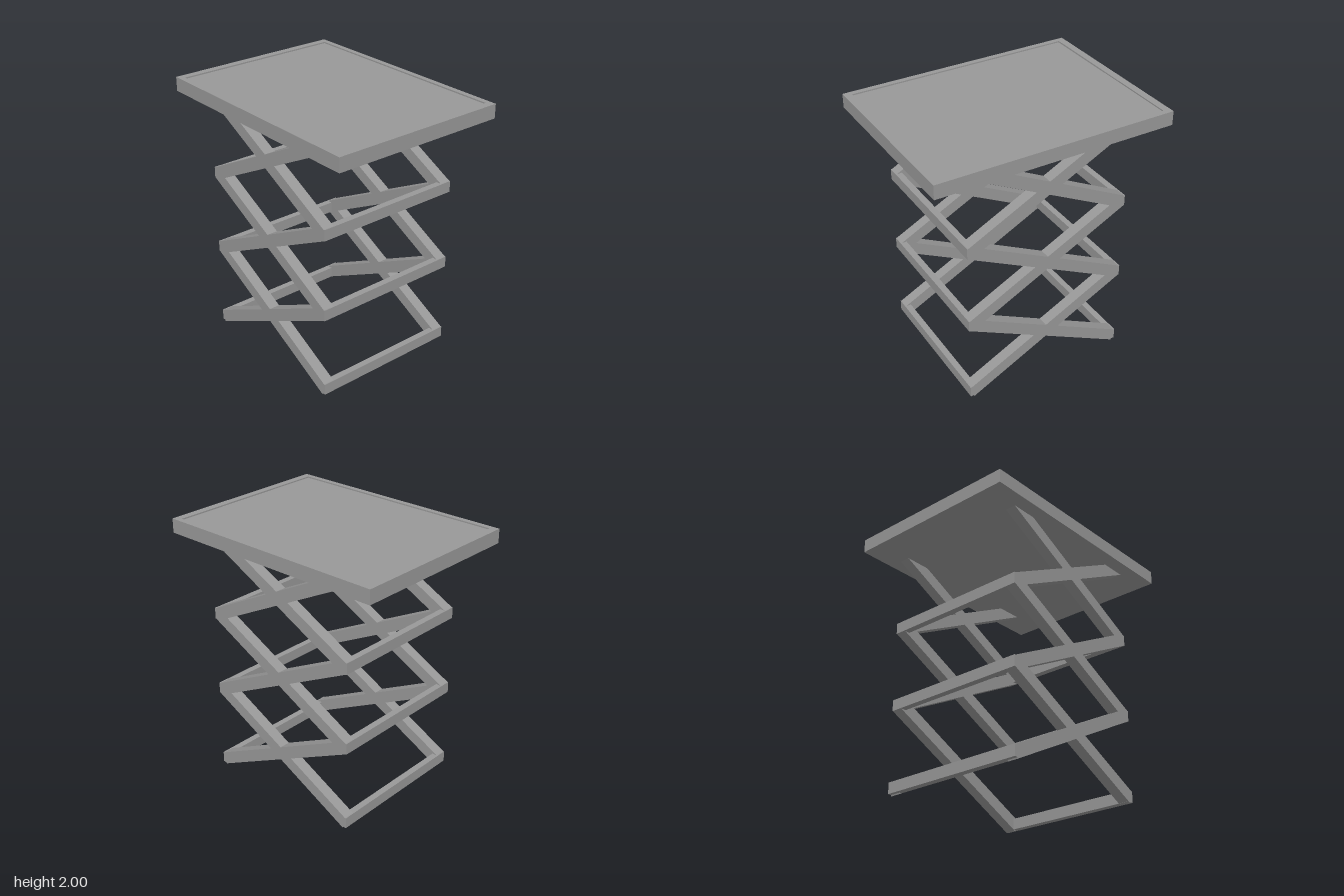
import * as THREE from 'three';

const material = new THREE.MeshStandardMaterial({ color: 0x989898, flatShading: true });

const LEVELS = 3;
const PITCH = 0.627; // height of one scissor stage
const FIRST = 0.365; // height of the lowest crossing
const REACH = 0.643; // half width of a stage
const SLOPE = 0.509; // rise of an arm per unit of x
const ARM_HALF = 0.0525; // half the vertical thickness of an arm
const ARM_DEPTH = 0.085;
const ARM_Z = 0.5425; // centre of each side frame

function addMesh(parent, name, geometry, x = 0, y = 0, z = 0) {
  const mesh = new THREE.Mesh(geometry, material);
  mesh.name = name;
  mesh.position.set(x, y, z);
  parent.add(mesh);
  return mesh;
}

// One arm sloping down to +x, its upper end cut level at height top; side -1 mirrors it.
function armGeometry(side, top) {
  const outline = [
    [REACH, ARM_HALF - SLOPE * REACH], [REACH, -0.355], [0.615, -0.355],
    [0.612, -0.365], [0.588, -0.352], // small foot corner
    [-REACH, SLOPE * REACH - ARM_HALF], [-REACH, top], [(ARM_HALF - top) / SLOPE, top],
  ];
  const points = outline.map(([x, y]) => new THREE.Vector2(x * side, y));
  const geometry = new THREE.ExtrudeGeometry(new THREE.Shape(points), { depth: ARM_DEPTH, bevelEnabled: false });
  return geometry.translate(0, 0, -ARM_DEPTH / 2);
}

function rectangle(PathClass, hx, hz) {
  return new PathClass([
    new THREE.Vector2(-hx, -hz), new THREE.Vector2(hx, -hz),
    new THREE.Vector2(hx, hz), new THREE.Vector2(-hx, hz),
  ]);
}

function createPlatform() {
  const platform = new THREE.Group();
  platform.name = 'platform';
  // Outer rim
  const rim = rectangle(THREE.Shape, 0.92, 0.693);
  rim.holes.push(rectangle(THREE.Path, 0.865, 0.652));
  const rimGeometry = new THREE.ExtrudeGeometry(rim, { depth: 0.107, bevelEnabled: false });
  rimGeometry.rotateX(-Math.PI / 2);
  addMesh(platform, 'platformRim', rimGeometry, 0, 1.893, 0);
  // Slightly recessed deck
  addMesh(platform, 'platformDeck', new THREE.BoxGeometry(1.73, 0.097, 1.304), 0, 1.9415, 0);
  return platform;
}

function createScissorStage(level) {
  const stage = new THREE.Group();
  stage.name = `scissorStage${level + 1}`;
  stage.position.y = FIRST + level * PITCH;
  // The top stage ends inside the platform, the others at the next cross bar
  const top = level === LEVELS - 1 ? 0.3 : 0.355;
  for (const side of [-1, 1]) {
    const geometry = armGeometry(side, top);
    for (const z of [-ARM_Z, ARM_Z]) {
      addMesh(stage, side > 0 ? 'fallingArm' : 'risingArm', geometry, 0, 0, z);
    }
    // Cross bar joining the front and back frames at the foot of the stage
    addMesh(stage, side > 0 ? 'leftCrossBar' : 'rightCrossBar',
      new THREE.BoxGeometry(0.05, 0.085, 2 * ARM_Z + ARM_DEPTH), side * (REACH - 0.025), -0.3125, 0);
  }
  return stage;
}

export function createModel() {
  const model = new THREE.Group();
  model.name = 'scissorLift';
  for (let level = 0; level < LEVELS; level++) model.add(createScissorStage(level));
  model.add(createPlatform());
  return model;
}
